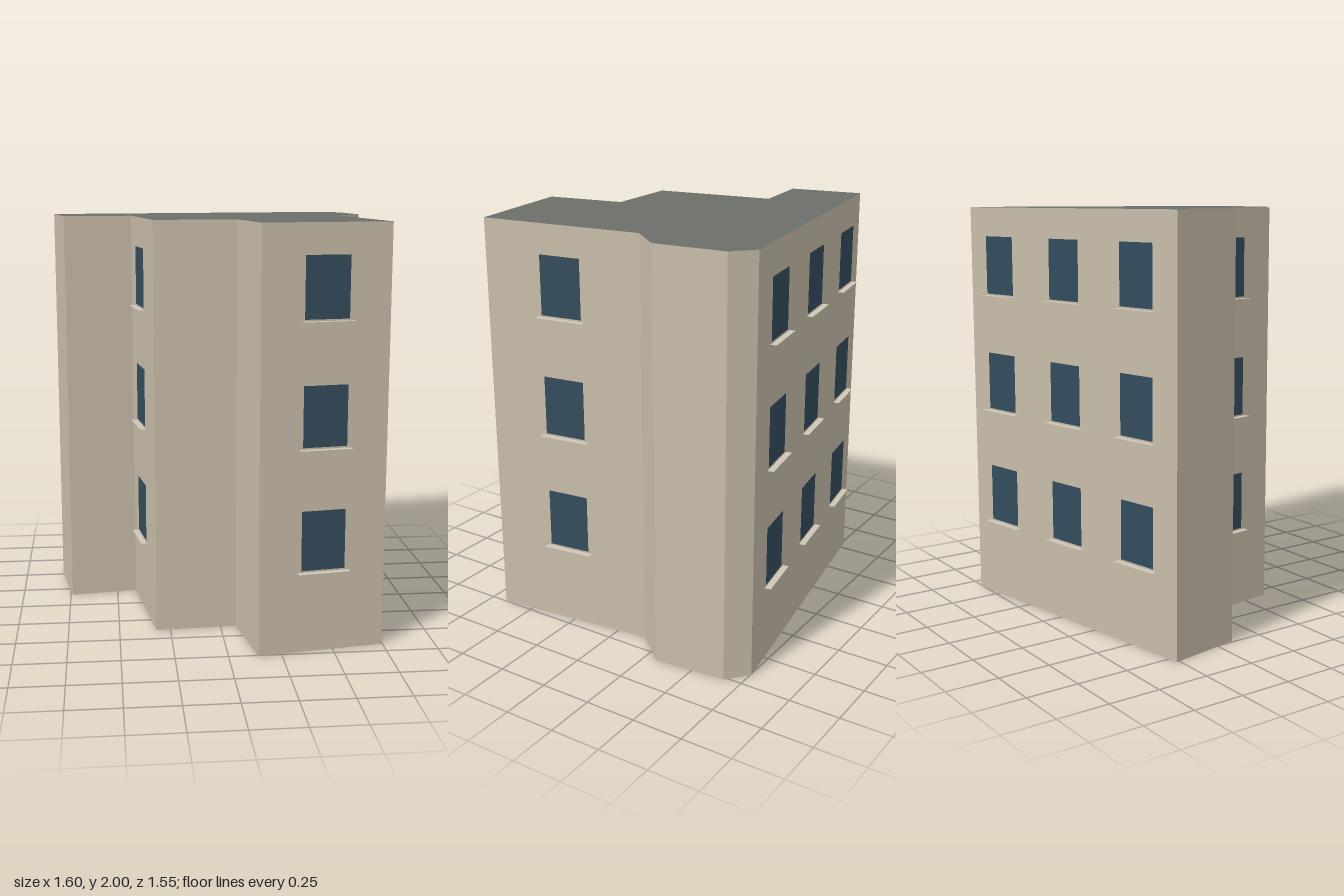
import * as THREE from 'three';

const HEIGHT = 2;
const FLOOR_PITCH = 0.585;

// Footprint corners [x, z], running clockwise seen from above
const PLAN = [
  [-0.8, -0.515], [0.665, -0.755], [0.765, -0.665], [0.798, -0.313],
  [0.655, -0.15], [0.745, 0.665], [0.138, 0.758], [0.077, 0.37],
  [-0.318, 0.39], [-0.402, -0.2], [-0.74, -0.155],
];

// Walls with windows: index of the first corner and windows per floor
const WINDOW_WALLS = [
  { name: 'back', wall: 0, columns: 3 },
  { name: 'left', wall: 4, columns: 1 },
  { name: 'front', wall: 5, columns: 1 },
  { name: 'right', wall: 8, columns: 1 },
];

export function createModel() {
  const model = new THREE.Group();
  model.name = 'apartmentBlock';

  const paint = (color) => new THREE.MeshStandardMaterial({ color });
  const wallPaint = paint(0xc8bda9);
  const roofPaint = paint(0x6b6f69);
  const glassPaint = paint(0x344c5c);
  const sillPaint = paint(0xcdc6b8);
  glassPaint.side = sillPaint.side = THREE.DoubleSide;

  // Building body: caps are the roof and underside, sides are the walls
  const shape = new THREE.Shape(PLAN.map(([x, z]) => new THREE.Vector2(x, -z)));
  const bodyGeometry = new THREE.ExtrudeGeometry(shape, { depth: HEIGHT, bevelEnabled: false });
  bodyGeometry.rotateX(-Math.PI / 2);
  const body = new THREE.Mesh(bodyGeometry, [roofPaint, wallPaint]);
  body.name = 'wallsAndRoof';
  model.add(body);

  // Window pane and ledge, standing just clear of the wall (wall lies at z = 0)
  const paneGeometry = new THREE.PlaneGeometry(0.212, 0.286).translate(0, 0.143, 0.012);
  const sillGeometry = new THREE.PlaneGeometry(0.25, 0.03).rotateX(-Math.PI / 2).translate(0, -0.008, 0.027);

  function makeWindow() {
    const group = new THREE.Group();
    group.name = 'window';
    const pane = new THREE.Mesh(paneGeometry, glassPaint);
    pane.name = 'windowPane';
    const sill = new THREE.Mesh(sillGeometry, sillPaint);
    sill.name = 'windowSill';
    group.add(pane, sill);
    return group;
  }

  // Windows spread evenly along each wall on three floors
  for (const { name, wall, columns } of WINDOW_WALLS) {
    const [x0, z0] = PLAN[wall];
    const [x1, z1] = PLAN[wall + 1];
    const row = new THREE.Group();
    row.name = name + 'Windows';
    for (let floor = 0; floor < 3; floor++) {
      for (let c = 0; c < columns; c++) {
        const t = (c + 0.5) / columns;
        const unit = makeWindow();
        unit.position.set(x0 + (x1 - x0) * t, 0.402 + floor * FLOOR_PITCH, z0 + (z1 - z0) * t);
        // Turn local +z to the outward normal of the wall
        unit.rotation.y = Math.atan2(z1 - z0, x0 - x1);
        row.add(unit);
      }
    }
    model.add(row);
  }

  return model;
}
